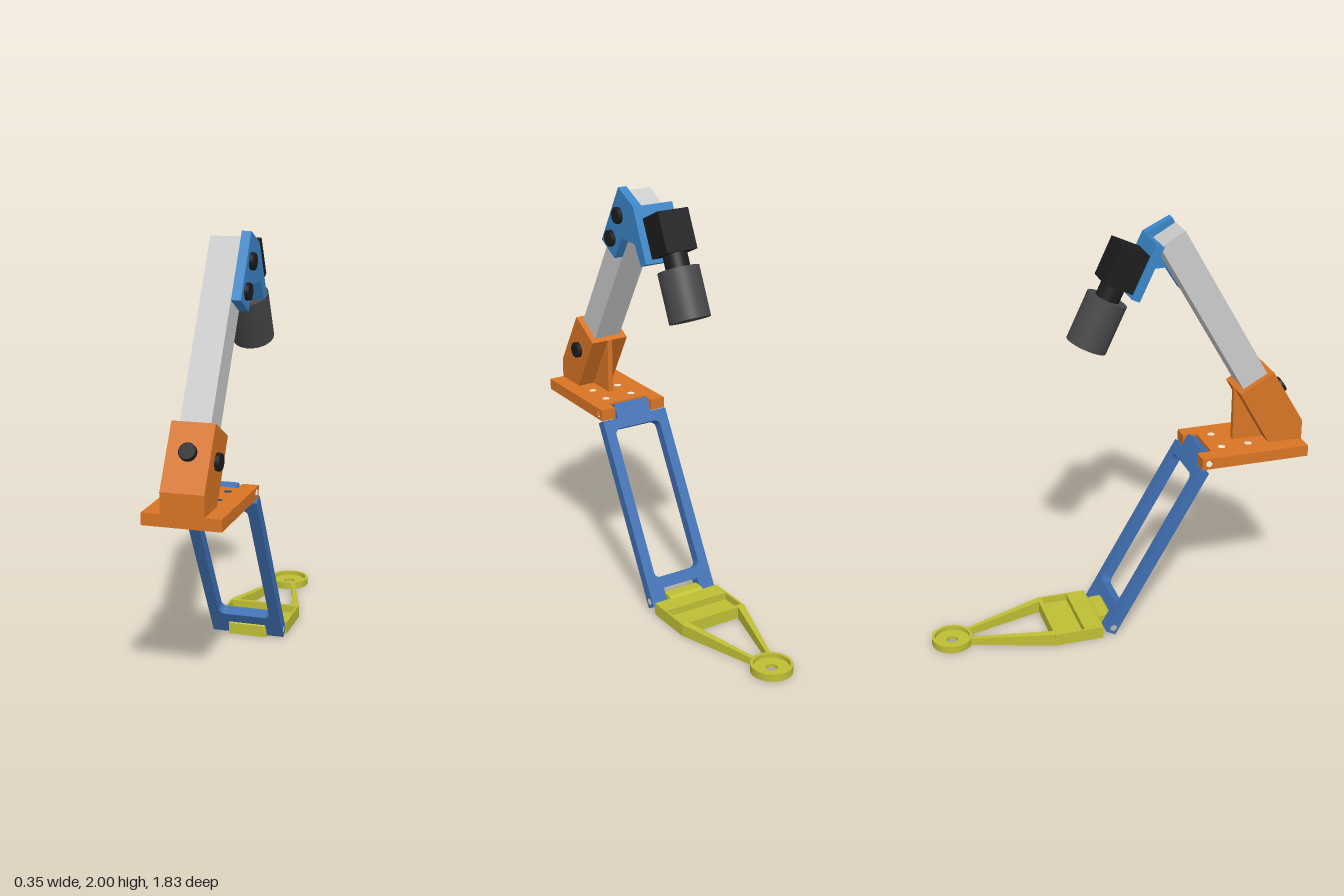
import * as THREE from 'three';
import { toCreasedNormals } from 'three/addons/utils/BufferGeometryUtils.js';

const mat = (color) => new THREE.MeshStandardMaterial({ color });
const YELLOW = mat(0xbfbf35), BLUE = mat(0x3f70b3), SKY = mat(0x3a86c8), ORANGE = mat(0xd87526);
const GREY = mat(0xcccccc), BLACK = mat(0x1c1c1e), DARK = mat(0x48484b);
const DEG = Math.PI / 180;

function add(parent, name, geometry, material) {
  const mesh = new THREE.Mesh(geometry, material);
  mesh.name = name;
  parent.add(mesh);
  return mesh;
}

function outline(points, holes = []) {
  const shape = new THREE.Shape(points.map(([a, b]) => new THREE.Vector2(a, b)));
  for (const [a, b, r] of holes) shape.holes.push(new THREE.Path().absarc(a, b, r, 0, Math.PI * 2, true));
  return shape;
}

const extrude = (shape, depth) => new THREE.ExtrudeGeometry(shape, { depth, bevelEnabled: false, curveSegments: 12 });

// Profile of [z, y] points, extruded from x0 to x1
function side(points, x0, x1, holes = []) {
  const shape = outline(points.map(([z, y]) => [-z, y]), holes.map(([z, y, r]) => [-z, y, r]));
  return extrude(shape, x1 - x0).rotateY(Math.PI / 2).translate(x0, 0, 0);
}

// Plan of [x, z] points, extruded from y0 to y1
function plan(points, y0, y1, holes = []) {
  const shape = outline(points.map(([x, z]) => [x, -z]), holes.map(([x, z, r]) => [x, -z, r]));
  return extrude(shape, y1 - y0).rotateX(-Math.PI / 2).translate(0, y0, 0);
}

const rect = (a0, a1, b0, b1) => [[a0, b0], [a1, b0], [a1, b1], [a0, b1]];
const box = (x0, x1, y0, y1, z0, z1) => new THREE.BoxGeometry(x1 - x0, y1 - y0, z1 - z0)
  .translate((x0 + x1) / 2, (y0 + y1) / 2, (z0 + z1) / 2);

// Bolt head standing on a surface, pointing along dir
function bolt(parent, position, dir) {
  const profile = [[0, -0.01], [0.039, -0.01], [0.039, 0.018], [0.035, 0.022], [0, 0.022]];
  const geo = new THREE.LatheGeometry(profile.map(([r, y]) => new THREE.Vector2(r, y)), 24);
  const mesh = add(parent, 'boltHead', toCreasedNormals(geo.toNonIndexed(), 0.5), BLACK);
  mesh.position.set(...position);
  mesh.quaternion.setFromUnitVectors(new THREE.Vector3(0, 1, 0), new THREE.Vector3(...dir).normalize());
}

function group(parent, name) {
  const g = new THREE.Group();
  g.name = name;
  parent.add(g);
  return g;
}

function buildFoot(root) {
  const foot = group(root, 'foot');
  // Hinge tab and shallow tray
  add(foot, 'footHingeTab', side([[-0.035, 0], [-0.035, 0.055], [-0.05, 0.07], [-0.1, 0.07], [-0.115, 0.06], [-0.115, 0]],
    -0.093, 0.093, [[-0.057, 0.045, 0.016]]), YELLOW);
  add(foot, 'trayBlock', box(-0.177, 0.177, 0, 0.06, -0.2, -0.108), YELLOW);
  add(foot, 'trayFloor', box(-0.177, 0.177, 0, 0.025, -0.35, -0.2), YELLOW);
  add(foot, 'trayRim', box(-0.177, 0.177, 0.025, 0.06, -0.35, -0.33), YELLOW);
  for (const s of [-1, 1]) {
    add(foot, 'trayWall', box(s * 0.172 - 0.005, s * 0.172 + 0.005, 0.025, 0.06, -0.33, -0.2), YELLOW);
    // Leg that gets lower toward the ring
    const leg = plan([[s * 0.14, -0.345], [s * 0.177, -0.345], [s * 0.05, -0.74], [s * 0.03, -0.74]], 0, 1);
    const p = leg.attributes.position;
    for (let i = 0; i < p.count; i++) {
      const t = (-0.345 - p.getZ(i)) / 0.395;
      p.setY(i, p.getY(i) * THREE.MathUtils.lerp(0.06, 0.035, t));
    }
    leg.computeVertexNormals();
    add(foot, 'footLeg', leg, YELLOW);
  }
  // Ring with a recessed floor and a hole
  const ring = [[0.028, 0], [0.097, 0], [0.097, 0.036], [0.084, 0.036], [0.084, 0.015], [0.028, 0.015], [0.028, 0]];
  const ringGeo = new THREE.LatheGeometry(ring.map(([r, y]) => new THREE.Vector2(r, y)), 40);
  add(foot, 'footRing', toCreasedNormals(ringGeo.toNonIndexed(), 0.5), YELLOW).position.z = -0.817;
}

function buildLink(root) {
  // Built upright with the lower hinge at the origin, then tilted forward
  const link = group(root, 'link'), t = 0.026;
  const frame = outline(rect(-0.177, 0.177, 0.045, 0.9));
  const [w, b, h, r] = [0.126, 0.1, 0.848, 0.03];
  const win = new THREE.Path();
  win.absarc(w - r, h - r, r, 0, Math.PI / 2);
  win.absarc(-w + r, h - r, r, Math.PI / 2, Math.PI);
  win.absarc(-w + r, b + r, r, Math.PI, Math.PI * 1.5);
  win.absarc(w - r, b + r, r, Math.PI * 1.5, Math.PI * 2);
  win.closePath();
  frame.holes.push(win);
  add(link, 'linkFrame', extrude(frame, 2 * t).translate(0, 0, -t), BLUE);
  for (const s of [-1, 1])
    add(link, 'linkFork', side(rect(-t, t, -0.03, 0.045), s * 0.1365 - 0.0405, s * 0.1365 + 0.0405, [[0, 0, 0.016]]), BLUE);
  add(link, 'linkTab', side(rect(-t, t, 0.9, 0.972), -0.093, 0.093, [[0, 0.944, 0.016]]), BLUE);
  link.position.set(0, 0.045, -0.057);
  link.rotation.x = 29.8 * DEG;
}

function buildBase(root) {
  const base = group(root, 'shoulder');
  // Plate with four holes and two hinge ears
  const holes = [0.515, 0.65].flatMap((z) => [-0.068, 0.076].map((x) => [x, z, 0.018]));
  add(base, 'shoulderPlate', plan(rect(-0.177, 0.177, 0.45, 0.915), 0.835, 0.89, holes), ORANGE);
  for (const s of [-1, 1])
    add(base, 'hingeEar', side(rect(0.38, 0.45, 0.835, 0.89), s * 0.139 - 0.038, s * 0.139 + 0.038, [[0.413, 0.864, 0.016]]), ORANGE);
  // Leaning socket with a thin gusset behind it
  add(base, 'socket', side([[0.915, 0.88], [0.915, 0.985], [0.757, 1.252], [0.593, 1.16], [0.752, 0.88]], -0.093, 0.102), ORANGE);
  add(base, 'gusset', side([[0.76, 0.88], [0.6, 1.16], [0.593, 1.16], [0.593, 0.88]], -0.008, 0.018), ORANGE);
  bolt(base, [0.102, 1.085, 0.745], [1, 0, 0]);
  bolt(base, [0.004, 1.138, 0.826], [0, 0.51, 0.86]);
}

function buildArm(root) {
  // Square bar leaning back
  const bar = add(root, 'armBar', box(-0.069, 0.069, -1.15, 0, -0.0675, 0.0675), GREY);
  bar.position.set(0.005, 1.941, 0.252);
  bar.rotation.x = -30 * DEG;

  // Side plate of the motor bracket
  const bracket = group(root, 'motorBracket');
  add(bracket, 'bracketPlate', side([[0.455, 1.72], [0.296, 1.998], [0.17, 1.937], [0.06, 1.69], [0.1, 1.672],
    [0.153, 1.762], [0.27, 1.765], [0.339, 1.655]], 0.073, 0.117), SKY);
  for (const [y, z] of [[1.868, 0.296], [1.746, 0.365]]) bolt(bracket, [0.114, y, z], [1, 0, 0]);

  // Motor with its mounting flange, gearbox, neck and can
  const motor = group(root, 'motor');
  add(motor, 'mountFlange', box(-0.093, 0.117, -0.114, 0.155, 0.071, 0.112), SKY);
  add(motor, 'gearbox', box(-0.08, 0.08, -0.095, 0.095, -0.071, 0.071), BLACK);
  const cylinder = (r, y0, y1) => new THREE.CylinderGeometry(r, r, y1 - y0, 40).translate(0, (y0 + y1) / 2, 0);
  add(motor, 'motorNeck', cylinder(0.057, -0.18, -0.09), BLACK);
  add(motor, 'motorCan', cylinder(0.097, -0.402, -0.165), DARK);
  motor.position.set(0, 1.823, 0.037);
  motor.rotation.x = 25 * DEG;
}

export function createModel() {
  const root = new THREE.Group();
  root.name = 'jointedArm';
  buildFoot(root);
  buildLink(root);
  buildBase(root);
  buildArm(root);
  return root;
}
